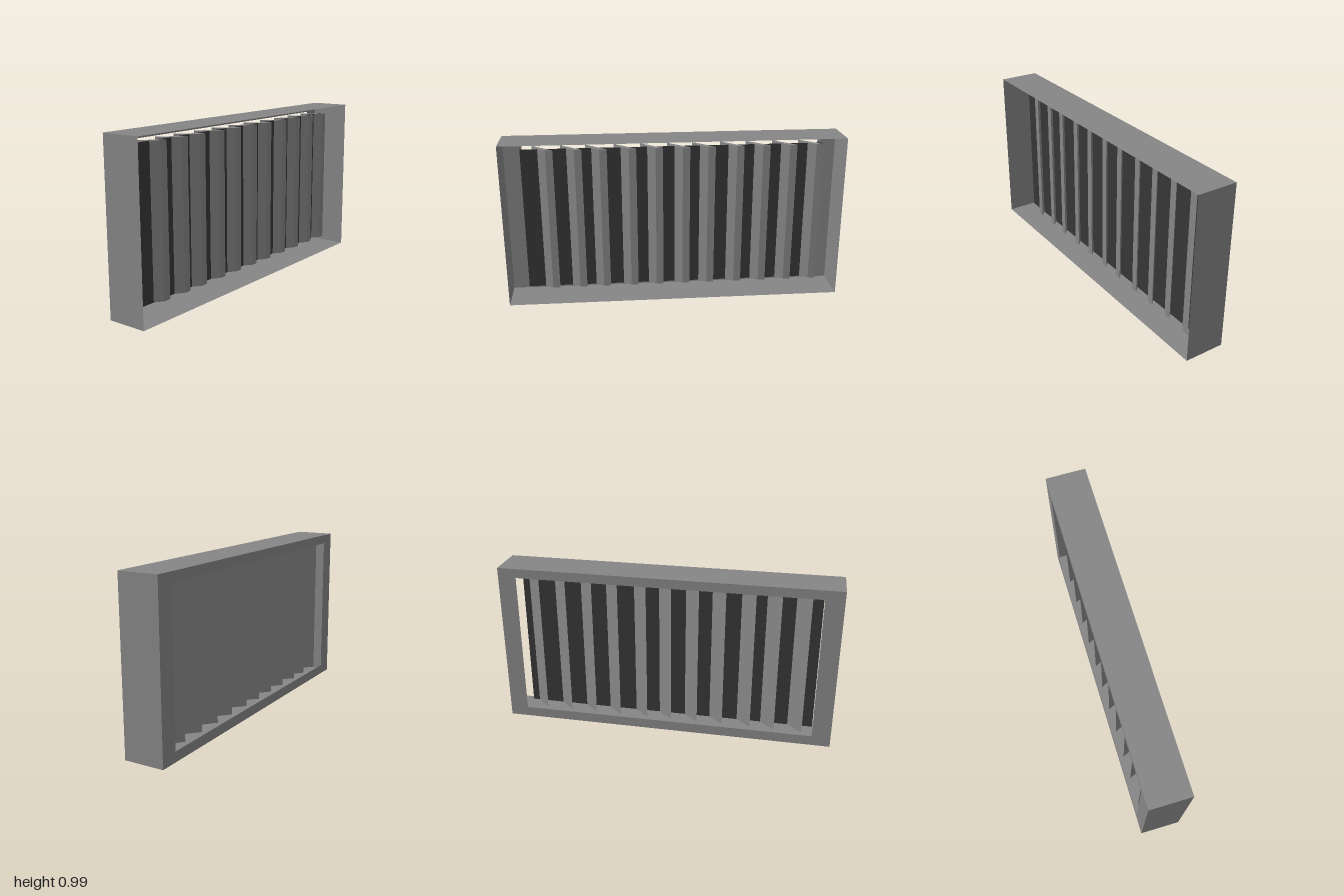
import * as THREE from 'three';

const H = 0.985, X = 0.12, LOW = 0.06, HIGH = 0.93, END = 0.89;

// Upright prism from a plan outline of [x, z] points
function prism(points, y0, y1, material, name) {
  const shape = new THREE.Shape(points.map(([x, z]) => new THREE.Vector2(x, -z)));
  const geometry = new THREE.ExtrudeGeometry(shape, { depth: y1 - y0, bevelEnabled: false });
  geometry.rotateX(-Math.PI / 2);
  const mesh = new THREE.Mesh(geometry, material);
  mesh.position.y = y0;
  mesh.name = name;
  return mesh;
}

export function createModel() {
  const group = new THREE.Group();
  const grey = new THREE.MeshStandardMaterial({ color: 0x868686, flatShading: true });
  const sheet = new THREE.MeshStandardMaterial({ color: 0x868686, flatShading: true, side: THREE.DoubleSide });
  const dark = new THREE.MeshStandardMaterial({ color: 0x373737, flatShading: true, side: THREE.DoubleSide });

  // Thin casing, open towards +x
  for (const s of [1, -1]) {
    const end = new THREE.Mesh(new THREE.PlaneGeometry(2 * X, H), sheet);
    end.rotation.y = s > 0 ? 0 : Math.PI;
    end.position.set(0, H / 2, s);
    end.name = s > 0 ? 'frontEndWall' : 'backEndWall';
    const flat = new THREE.Mesh(new THREE.PlaneGeometry(2 * X, 2), sheet);
    flat.rotation.x = -s * Math.PI / 2;
    flat.position.y = s > 0 ? H : 0;
    flat.name = s > 0 ? 'topWall' : 'bottomWall';
    group.add(end, flat);
  }

  // Flat border around the opening on the -x side
  const border = new THREE.Shape([[-1, 0], [1, 0], [1, H], [-1, H]].map(p => new THREE.Vector2(...p)));
  border.holes.push(new THREE.Path(
    [[-END, LOW], [-END, HIGH], [END, HIGH], [END, LOW]].map(p => new THREE.Vector2(...p))));
  const frame = new THREE.Mesh(new THREE.ShapeGeometry(border), sheet);
  frame.rotation.y = -Math.PI / 2;
  frame.position.x = -X;
  frame.name = 'openingFrame';
  group.add(frame);

  // Dark panel that the slats pass through
  const panel = new THREE.Mesh(new THREE.PlaneGeometry(2 * END, HIGH - LOW), dark);
  panel.rotation.y = Math.PI / 2;
  panel.position.set(-0.01, (LOW + HIGH) / 2, 0);
  panel.name = 'darkPanel';
  group.add(panel);

  // Slanted upright slats with a flat front edge and a narrow rear edge
  const edges = [0.70, 0.535, 0.39, 0.22, 0.065, -0.095, -0.245, -0.415, -0.57, -0.73, -0.89];
  edges.forEach((z, i) => group.add(prism(
    [[0.027, z], [0.025, z + 0.043], [-0.012, z + 0.092], [-0.091, z + 0.128]],
    LOW, HIGH, grey, 'slat' + (i + 1))));
  return group;
}
